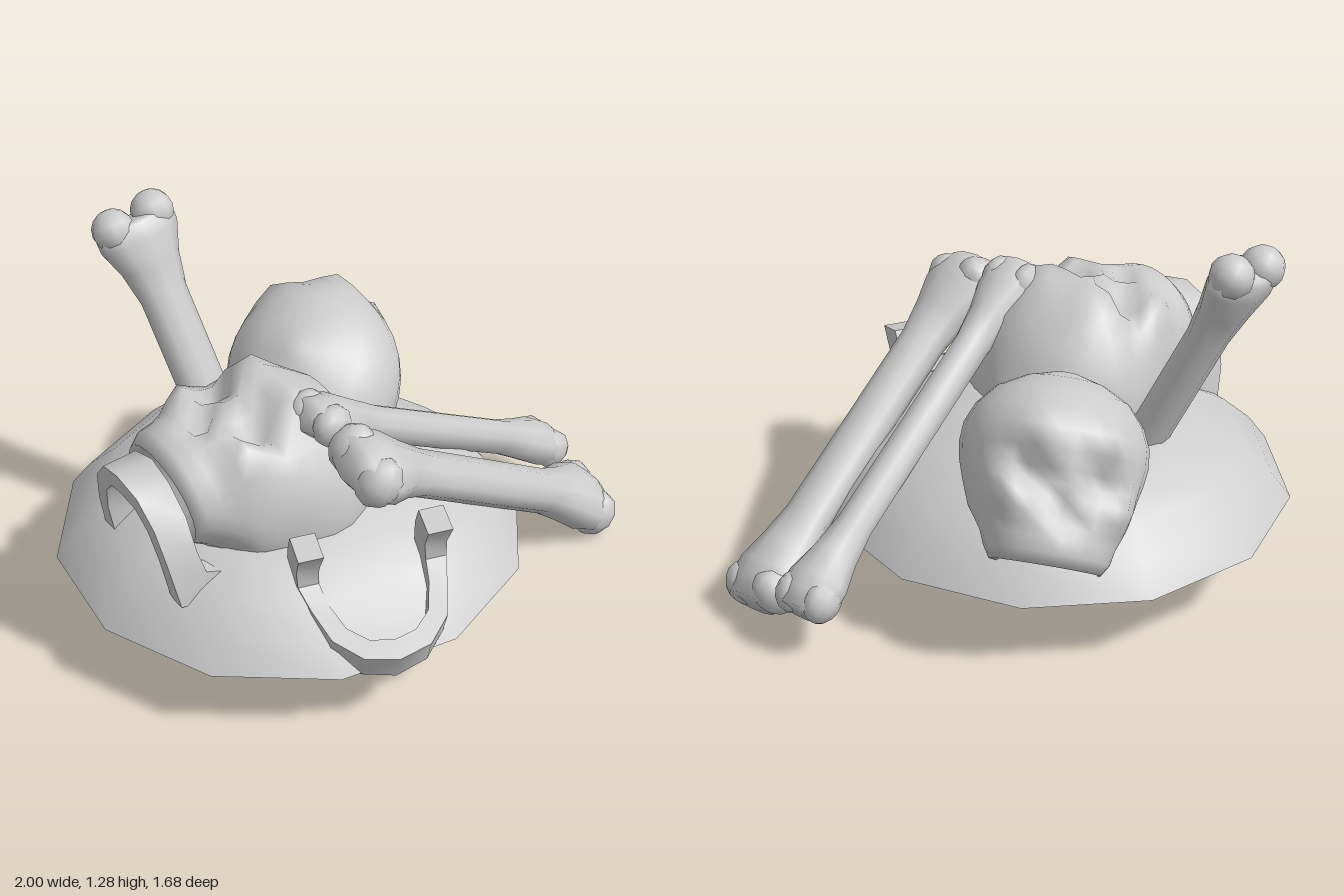
import * as THREE from 'three';
import { mergeVertices, toCreasedNormals } from 'three/addons/utils/BufferGeometryUtils.js';

const V = (x, y, z) => new THREE.Vector3(x, y, z);
const material = new THREE.MeshStandardMaterial({ color: 0xcccccc });
const thinMaterial = new THREE.MeshStandardMaterial({ color: 0xcccccc, side: THREE.DoubleSide });

function named(name, geometry, mat = material) {
  const mesh = new THREE.Mesh(geometry, mat);
  mesh.name = name;
  return mesh;
}

// Skins a row of equal-sized rings and closes both ends
function loft(rings) {
  const n = rings[0].length, last = (rings.length - 1) * n;
  const points = rings.flat(), index = [];
  for (let i = 0; i < rings.length - 1; i++) {
    for (let j = 0; j < n; j++) {
      const a = i * n + j, b = i * n + (j + 1) % n;
      index.push(a, b, a + n, b, b + n, a + n);
    }
  }
  for (const ring of [rings[0], rings[rings.length - 1]]) {
    points.push(ring.reduce((sum, p) => sum.add(p), V(0, 0, 0)).divideScalar(n));
  }
  for (let j = 0; j < n; j++) {
    const k = (j + 1) % n;
    index.push(points.length - 2, k, j, points.length - 1, last + j, last + k);
  }
  const geometry = new THREE.BufferGeometry().setFromPoints(points);
  geometry.setIndex(index);
  geometry.computeVertexNormals();
  return geometry;
}

// Horizontal oval around the y axis
function oval(y, halfWidth, back, front, sides) {
  return Array.from({ length: sides }, (_, j) => {
    const a = (j / sides) * Math.PI * 2;
    return V(Math.sin(a) * halfWidth, y, (front + back) / 2 + Math.cos(a) * (front - back) / 2);
  });
}

// Places an object with its +z along forward and its +y close to up
function place(object, position, forward, up, scale = 1) {
  const z = forward.clone().normalize();
  const x = up.clone().cross(z).normalize();
  const y = z.clone().cross(x);
  object.quaternion.setFromRotationMatrix(new THREE.Matrix4().makeBasis(x, y, z));
  object.position.copy(position);
  object.scale.setScalar(scale);
  return object;
}

// Skull: oval sections from palate to crown, then dents and bulges for the face
function skullGeometry() {
  const rows = [ // y, half width, back z, front z
    [-0.25, 0.1, 0.06, 0.24], [-0.32, 0.16, 0.03, 0.28], [-0.35, 0.19, 0.0, 0.31],
    [-0.31, 0.215, -0.03, 0.34], [-0.26, 0.23, -0.09, 0.345], [-0.22, 0.25, -0.17, 0.35],
    [-0.18, 0.27, -0.25, 0.355], [-0.13, 0.285, -0.3, 0.36], [-0.08, 0.3, -0.34, 0.36],
    [-0.03, 0.315, -0.36, 0.36], [0.03, 0.325, -0.37, 0.36], [0.10, 0.32, -0.36, 0.35],
    [0.17, 0.29, -0.32, 0.31], [0.24, 0.23, -0.25, 0.25], [0.29, 0.14, -0.15, 0.15],
    [0.32, 0.04, -0.04, 0.04],
  ];
  const features = [ // x, y, radius, push along z
    [0.12, -0.05, 0.065, -0.1], [-0.12, -0.05, 0.065, -0.1], // eye sockets
    [0, -0.17, 0.045, -0.08],                                // nose opening
    [0.13, 0.06, 0.07, 0.06], [-0.13, 0.06, 0.07, 0.06],     // brows
    [0.21, -0.13, 0.07, 0.08], [-0.21, -0.13, 0.07, 0.08],   // cheekbones
  ];
  const geometry = loft(rows.map(([y, w, b, f]) => oval(y, w, b, f, 30)));
  const p = geometry.attributes.position;
  for (let i = 0; i < p.count; i++) {
    const x = p.getX(i), y = p.getY(i), z = p.getZ(i);
    if (z < 0.1 || y < -0.26) continue;
    let push = 0;
    for (const [fx, fy, r, amount] of features) {
      push += amount * Math.exp(-((x - fx) ** 2 + (y - fy) ** 2) / (r * r));
    }
    p.setZ(i, z + push * Math.min(1, (z - 0.1) / 0.1));
  }
  geometry.computeVertexNormals();
  return geometry;
}

// Lower jaw: a flat band from one upright branch, round the chin, to the other
function jawGeometry() {
  const half = [ // centre, half height vector, half thickness vector
    [V(0.215, 0.2, -0.01), V(0, 0.01, 0.05), V(0.042, 0, 0)],
    [V(0.215, 0.1, -0.02), V(0, 0.01, 0.05), V(0.038, 0, 0)],
    [V(0.215, 0.0, 0.01), V(0, 0.055, 0.045), V(0.035, 0, 0)],
    [V(0.2, -0.01, 0.13), V(0, 0.055, 0), V(0.03, 0, 0.004)],
    [V(0.165, -0.01, 0.24), V(0, 0.058, 0), V(0.028, 0, 0.016)],
    [V(0.095, -0.01, 0.31), V(0, 0.06, 0), V(0.017, 0, 0.03)],
  ];
  const flip = V(-1, 1, 1);
  const stations = [
    ...half,
    [V(0, -0.01, 0.335), V(0, 0.065, 0), V(0, 0, 0.035)],
    ...half.map((s) => s.map((v) => v.clone().multiply(flip))).reverse(),
  ];
  const rings = stations.map(([c, h, n]) => [[-1, 1], [1, 1], [1, -1], [-1, -1]].map(
    ([a, b]) => c.clone().addScaledVector(h, a).addScaledVector(n, b)));
  return toCreasedNormals(loft(rings), 0.8);
}

// Limb bone: sturdy shaft flaring into a broad two-lobed head at each end;
// tip is how far the middle of the head reaches out between the lobes
function bone(name, start, end, wide, width, depth, tip) {
  const group = new THREE.Group();
  group.name = name;
  const axis = end.clone().sub(start), length = axis.length();
  const flare = [
    [-tip, 0.1, 0.06], [0.01, 0.14, 0.083], [0.07, 0.138, 0.09],
    [0.17, 0.102, 0.08], [0.29, 0.08, 0.069],
  ];
  const rows = [...flare, ...flare.map(([y, w, d]) => [length - y, w, d]).reverse()];
  group.add(named('shaft', loft(rows.map(
    ([y, w, d]) => oval(y, w * width, -d * depth, d * depth, 10)))));
  const lobe = new THREE.SphereGeometry(0.07, 10, 8);
  for (const y of [0.01, length - 0.01]) {
    for (const side of [-1, 1]) {
      const mesh = named('lobe', lobe);
      mesh.position.set(side * 0.073 * width, y, 0);
      mesh.scale.set(width, 1.05, 1.15 * depth);
      group.add(mesh);
    }
  }
  const y = axis.normalize();
  const z = wide.clone().cross(y).normalize();
  return place(group, start, z, y);
}

export function createModel() {
  const model = new THREE.Group();
  model.name = 'bonePile';

  // Open twelve-sided mound under the pile
  const profile = [[0.81, 0.25], [0.74, 0.345], [0.64, 0.435], [0.5, 0.515], [0.3, 0.58], [0, 0.61]];
  const mound = named('mound', mergeVertices(new THREE.LatheGeometry(
    profile.map(([r, y]) => new THREE.Vector2(r, y)), 12)), thinMaterial);
  mound.position.set(-0.19, 0, -0.02);
  model.add(mound);

  // Two skulls: one lying on its back, one leaning backwards
  const skull = skullGeometry();
  model.add(
    place(named('frontSkull', skull), V(-0.29, 0.56, 0.1),
      V(-0.16, 0.97, 0.03), V(0.9, 0.15, -0.35), 1.07),
    place(named('backSkull', skull), V(-0.01, 0.56, -0.42),
      V(0.12, 0.52, -0.8), V(-0.35, 0.82, 0.43), 0.95),
  );

  // Two loose lower jaws
  const jaw = jawGeometry();
  model.add(
    place(named('frontJaw', jaw), V(-0.04, 0.45, 0.48), V(0.08, -0.42, 0.9), V(0, 0.9, 0.42)),
    place(named('sideJaw', jaw), V(-0.69, 0.42, 0.24), V(-0.12, 0.97, 0.0), V(0.88, 0.1, -0.33)),
  );

  // Two long bones leaning on the pile and one standing in it
  model.add(
    bone('frontLongBone', V(-0.045, 0.84, 0.46), V(0.9, 0.11, -0.11), V(0, 0, 1), 1.07, 1.1, 0.055),
    bone('rearLongBone', V(-0.15, 0.9, 0.26), V(0.81, 0.2, -0.35), V(0, 0.3, 1), 0.8, 0.9, 0.05),
    bone('standingBone', V(-0.27, 0.15, -0.18), V(-0.61, 1.22, -0.56), V(0.9, 0.1, -0.4), 1.08, 0.92, 0),
  );
  return model;
}
